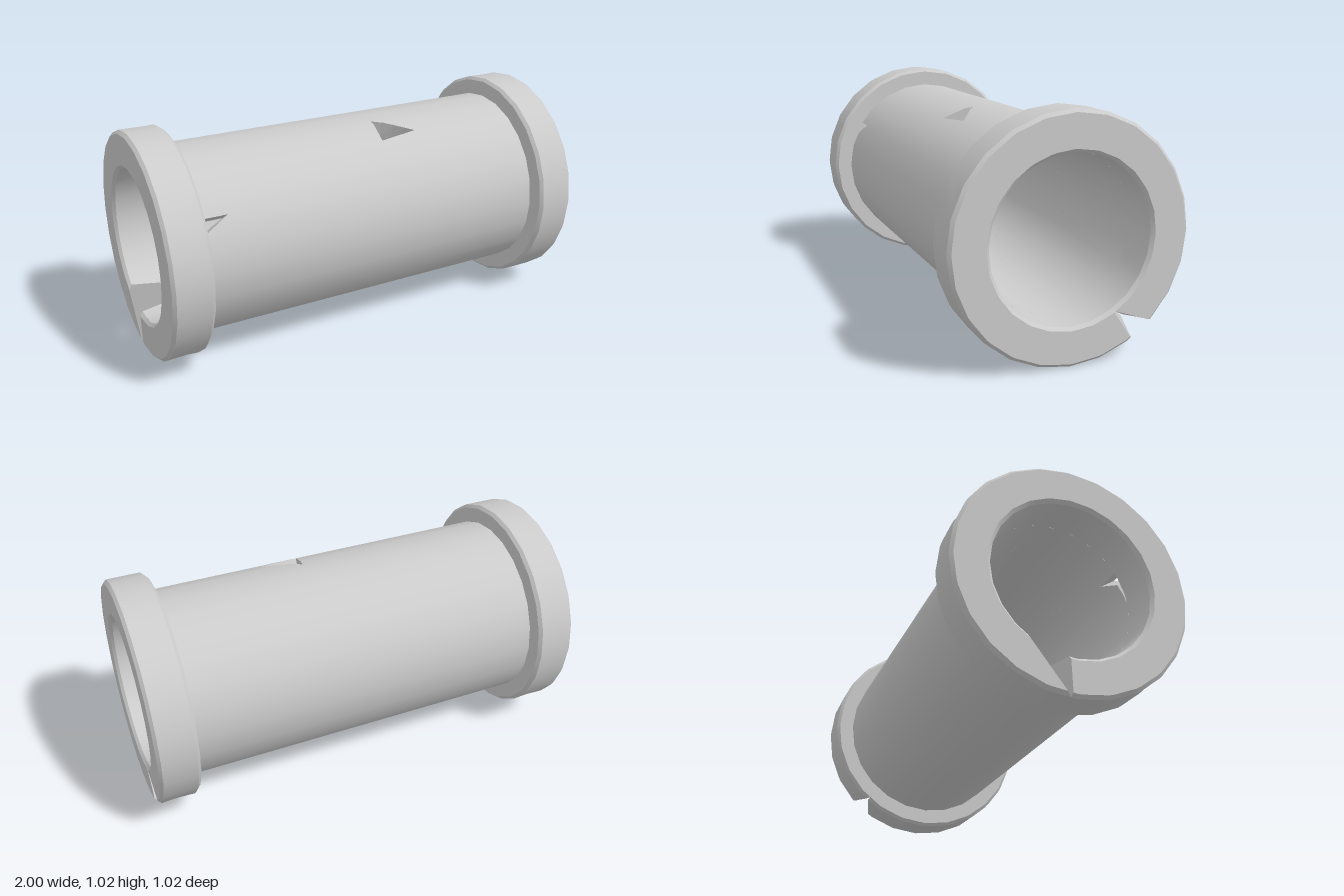
import * as THREE from 'three';

const R_TUBE = 0.425, R_BORE = 0.345, R_FLANGE = 0.51, CY = 0.51;
const STEP = 15, RAD = Math.PI / 180;
const material = new THREE.MeshStandardMaterial({ color: 0xcccccc, side: THREE.DoubleSide });

// Angles are in degrees from the top towards the front.
const radial = (a) => new THREE.Vector3(0, Math.cos(a * RAD), Math.sin(a * RAD));

// Point on a 24-sided prism of corner radius r.
function wrap(x, a, r) {
  const local = a - STEP * Math.floor(a / STEP) - STEP / 2;
  const p = radial(a).multiplyScalar(r * Math.cos(STEP / 2 * RAD) / Math.cos(local * RAD));
  p.x = x;
  p.y += CY;
  return p;
}

// Collects triangles; each one is turned to agree with its normals.
class Builder {
  constructor() { this.pos = []; this.nor = []; }
  tri(pts, normals) {
    const flat = pts[1].clone().sub(pts[0]).cross(pts[2].clone().sub(pts[0]));
    if (flat.length() < 1e-10) return;
    flat.normalize();
    const order = normals && flat.dot(normals[0]) < 0 ? [0, 2, 1] : [0, 1, 2];
    for (const i of order) {
      this.pos.push(...pts[i].toArray());
      this.nor.push(...(normals ? normals[i] : flat).toArray());
    }
  }
  quad(p, n) {
    this.tri([p[0], p[1], p[2]], n && [n[0], n[1], n[2]]);
    this.tri([p[0], p[2], p[3]], n && [n[0], n[2], n[3]]);
  }
  mesh(name) {
    const g = new THREE.BufferGeometry();
    g.setAttribute('position', new THREE.Float32BufferAttribute(this.pos, 3));
    g.setAttribute('normal', new THREE.Float32BufferAttribute(this.nor, 3));
    const m = new THREE.Mesh(g, material);
    m.name = name;
    return m;
  }
}

// Keeps the part of a convex polygon where sign * (angle - limit) >= 0.
function clip(poly, limit, sign) {
  const out = [];
  poly.forEach((p, i) => {
    const q = poly[(i + 1) % poly.length];
    const dp = sign * (p.y - limit), dq = sign * (q.y - limit);
    if (dp >= 0) out.push(p);
    if (dp * dq < 0) out.push(p.clone().lerp(q, dp / (dp - dq)));
  });
  return out;
}

// Tube shard: an unrolled (x, angle) outline wrapped onto the tube wall.
function tubeShard(outline) {
  const b = new Builder();
  const pts = outline.map(([x, a]) => new THREE.Vector2(x, a));
  if (THREE.ShapeUtils.area(pts) < 0) pts.reverse();
  for (const face of THREE.ShapeUtils.triangulateShape(pts, [])) {
    const t = face.map((i) => pts[i]);
    const angles = t.map((p) => p.y);
    const first = Math.floor(Math.min(...angles) / STEP) * STEP;
    for (let a = first; a < Math.max(...angles); a += STEP) {
      const cell = clip(clip(t, a, 1), a + STEP, -1);
      for (let i = 1; i + 1 < cell.length; i++) {
        const c = [cell[0], cell[i], cell[i + 1]];
        for (const [r, s] of [[R_TUBE, 1], [R_BORE, -1]]) {
          b.tri(c.map((p) => wrap(p.x, p.y, r)), c.map((p) => radial(p.y).multiplyScalar(s)));
        }
      }
    }
  }
  // broken edges through the wall thickness
  pts.forEach((p, i) => {
    const q = pts[(i + 1) % pts.length];
    const n = Math.max(1, Math.ceil(Math.abs(q.y - p.y) / 5));
    for (let k = 0; k < n; k++) {
      const u = p.clone().lerp(q, k / n), v = p.clone().lerp(q, (k + 1) / n);
      b.quad([wrap(u.x, u.y, R_TUBE), wrap(v.x, v.y, R_TUBE), wrap(v.x, v.y, R_BORE), wrap(u.x, u.y, R_BORE)]);
    }
  });
  return b.mesh('tubeShard');
}

// Flange cross-section (radius, distance along x) with bevelled corners.
const B = 0.014, X0 = 0.82, X1 = 1;
const PROFILE = [
  [R_FLANGE - B, X0], [R_FLANGE, X0 + B], [R_FLANGE, X1 - B], [R_FLANGE - B, X1],
  [R_BORE + B, X1], [R_BORE, X1 - B], [R_BORE, X0], 
];

// A cut gives its angle at [outer end, inner end, outer near, inner near].
function cutAngle(cut, [r, x]) {
  const u = (R_FLANGE - r) / (R_FLANGE - R_BORE), v = (X1 - x) / (X1 - X0);
  return THREE.MathUtils.lerp(
    THREE.MathUtils.lerp(cut[0], cut[1], u), THREE.MathUtils.lerp(cut[2], cut[3], u), v);
}

// Flange shard: the profile swept between two slanted cuts.
function flangeShard(side, start, end) {
  const b = new Builder();
  const n = Math.ceil((end[0] - start[0]) / 2.5);
  const angle = (p, k) => THREE.MathUtils.lerp(cutAngle(start, p), cutAngle(end, p), k / n);
  const at = (p, k) => wrap(side * p[1], angle(p, k), p[0]);
  PROFILE.forEach((p, i) => {
    const q = PROFILE[(i + 1) % PROFILE.length];
    const len = Math.hypot(q[0] - p[0], q[1] - p[1]);
    const nr = (q[1] - p[1]) / len, nx = -(q[0] - p[0]) / len;
    const normal = (c, k) => {
      const v = radial(angle(c, k)).multiplyScalar(nr);
      v.x = side * nx;
      return v;
    };
    for (let k = 0; k < n; k++) {
      b.quad([at(p, k), at(q, k), at(q, k + 1), at(p, k + 1)],
        [normal(p, k), normal(q, k), normal(q, k + 1), normal(p, k + 1)]);
    }
  });
  // broken end faces
  for (const [k, s] of [[0, -1], [n, 1]]) {
    for (let i = 1; i + 1 < PROFILE.length; i++) {
      const c = [PROFILE[0], PROFILE[i], PROFILE[i + 1]];
      const out = radial(angle(c[0], k) + 90).multiplyScalar(s);
      b.tri(c.map((p) => at(p, k)), [out, out, out]);
    }
  }
  return b.mesh('flangeShard');
}

export function createModel() {
  const model = new THREE.Group();
  model.name = 'crackedPipe';

  // crack junctions on the tube, as (x, angle)
  const chipTop = [0.13, 10], chipRight = [0.3, 26], chipLow = [0.11, 30];
  const crown = [0.11, -3], fork = [-0.57, -18], back = [0.2, -85];
  const dropTop = [0.05, 82], dropRight = [0.3, 138], dropBase = [0.2, 162];
  const dropLeft = [[-0.06, 123], [-0.05, 140]], low = [0.1, 178], lowBack = [0.12, 215];
  const rear = [0.2, 246], rearTop = [0.2, -114], shoulder = [0.61, 34];
  const frontChip = [-0.7, 57], underChip = [-0.74, 201];

  const tube = new THREE.Group();
  tube.name = 'tube';
  const outlines = [
    [[-X0, -7], fork, crown, chipTop, chipLow, frontChip, [-X0, 57]],
    [[-X0, -45], fork, [-X0, -7]],
    [[-X0, -114], rearTop, back, crown, fork, [-X0, -45]],
    [[-X0, 82], [-0.8, 65], frontChip, chipLow, dropTop, ...dropLeft, low, lowBack, underChip, [-X0, 192]],
    [[-X0, 210], underChip, lowBack, rear, [-X0, 246]],
    [dropTop, dropRight, dropBase, low, dropLeft[1], dropLeft[0]],
    [chipLow, chipRight, shoulder, [X0, 57], [X0, 127], dropRight, dropTop],
    [shoulder, [X0, 26], [X0, 57]],
    [crown, back, rearTop, [X0, -85], [X0, 26], shoulder, chipRight, chipTop],
    [low, dropBase, dropRight, [X0, 127], [X0, 275], rear, lowBack],
  ];
  for (const o of outlines) tube.add(tubeShard(o));
  model.add(tube);

  // each cut is [end of one shard, start of the next]; unequal pairs leave a chip
  const same = (c) => [c, c];
  const flanges = [
    ['leftFlange', 1, [
      same([20, 8, 26, 14]), same([74.5, 95, 57, 75]), same([127, 118, 128, 119]),
      [[212, 211, 219, 213], [225, 211, 219, 213]], same([297, 314, 307, 322])]],
    ['rightFlange', -1, [
      same([60, 58, 63, 60]), same([147, 140, 135, 132]),
      [[183, 185, 190, 192], [183, 215, 190, 210]],
      same([300, 312, 318, 325]), same([352, 350, 345, 343])]],
  ];
  for (const [name, side, cuts] of flanges) {
    const flange = new THREE.Group();
    flange.name = name;
    cuts.forEach((cut, i) => {
      const last = i === cuts.length - 1;
      const next = last ? cuts[0][0].map((a) => a + 360) : cuts[i + 1][0];
      flange.add(flangeShard(side, cut[1], next));
    });
    model.add(flange);
  }
  return model;
}
